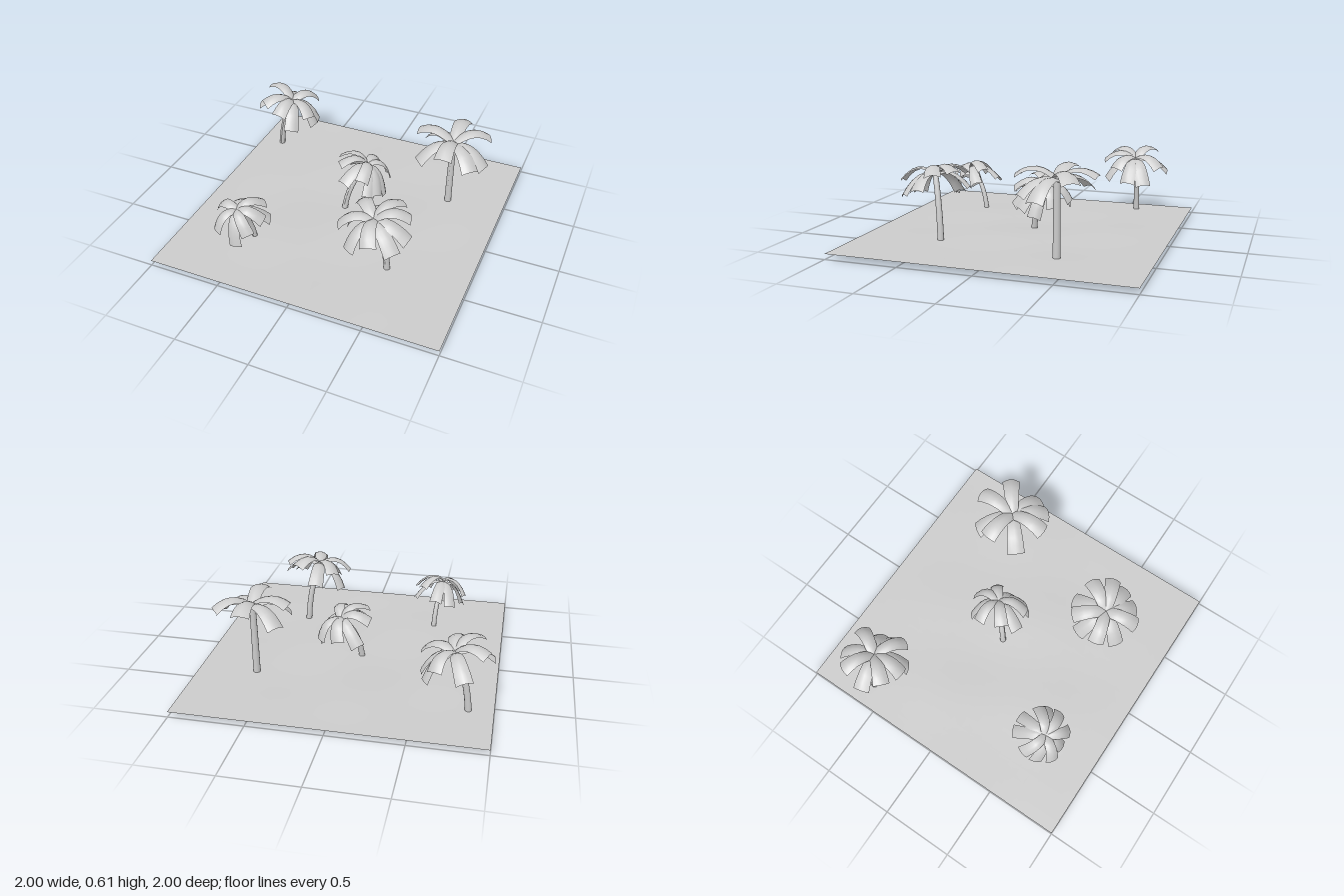
import * as THREE from 'three';

const UP = new THREE.Vector3(0, 1, 0);
const grey = new THREE.MeshStandardMaterial({ color: 0xcccccc });
const thin = new THREE.MeshStandardMaterial({ color: 0xcccccc, side: THREE.DoubleSide });

// Trunk base and top, thickness, frond length, extra droop, frond angles in degrees (seen from above)
const trees = [
  { name: 'backLeftPalm', base: [-0.84, 0, -0.6], top: [-0.735, 0.44, -0.605], radius: 0.022, length: 0.235, droop: 0.12,
    upper: [155, 60, -28, -90, -130], lower: [105, 25, -5, -60, -165] },
  { name: 'frontLeftPalm', base: [-0.49, 0.02, 0.5], top: [-0.53, 0.34, 0.63], radius: 0.018, length: 0.19, droop: 0.42,
    upper: [45, 165, -3, -48, -125], lower: [85, 120, 20, -85, -155] },
  { name: 'middlePalm', base: [-0.05, 0.02, -0.035], top: [0.07, 0.365, -0.15], radius: 0.021, length: 0.205, droop: 0.32,
    upper: [87, 40, 170, -75, -140], lower: [120, 5, -28, -50, -108] },
  { name: 'frontRightPalm', base: [0.46, 0.01, 0.45], top: [0.385, 0.465, 0.515], radius: 0.022, length: 0.235, droop: 0.15,
    upper: [130, 20, 58, -80, -165], lower: [100, 160, -10, -45, -125] },
  { name: 'backRightPalm', base: [0.605, 0.015, -0.4], top: [0.61, 0.535, -0.4], radius: 0.025, length: 0.265, droop: 0,
    upper: [90, 36, 172, -90], lower: [142, -15, -45, -140] },
];

// A capped, tapered cylinder bent along a curve
function trunk(curve, radius) {
  const geo = new THREE.CylinderGeometry(radius * 0.85, radius, 1, 12, 8);
  const pos = geo.attributes.position;
  const v = new THREE.Vector3();
  const q = new THREE.Quaternion();
  for (let i = 0; i < pos.count; i++) {
    v.fromBufferAttribute(pos, i);
    const t = v.y + 0.5;
    q.setFromUnitVectors(UP, curve.getTangent(t));
    v.setY(0).applyQuaternion(q).add(curve.getPoint(t));
    pos.setXYZ(i, v.x, v.y, v.z);
  }
  geo.computeVertexNormals();
  const mesh = new THREE.Mesh(geo, grey);
  mesh.name = 'trunk';
  return mesh;
}

// A broad leaf strip that rises, arches over and sags at its edges
function frond(length, rise, fall, degrees) {
  const geo = new THREE.PlaneGeometry(1, 1, 6, 4);
  const pos = geo.attributes.position;
  for (let i = 0; i < pos.count; i++) {
    const t = pos.getX(i) + 0.5;
    const side = pos.getY(i) * 2;
    const width = length * (0.3 + 0.17 * t);
    const reach = length * t * (1 - 0.05 * side * side * t);
    const height = length * (rise * t - fall * t * t - 0.07 * side * side);
    pos.setXYZ(i, reach, height, -side * width / 2);
  }
  geo.rotateY(THREE.MathUtils.degToRad(degrees));
  geo.computeVertexNormals();
  const mesh = new THREE.Mesh(geo, thin);
  mesh.name = 'frond';
  return mesh;
}

function palm({ name, base, top, radius, length, droop, upper, lower }) {
  const group = new THREE.Group();
  group.name = name;
  const a = new THREE.Vector3(...base);
  const b = new THREE.Vector3(...top);
  const bend = a.clone().lerp(b, 0.12).setY(a.y + (b.y - a.y) * 0.58);
  const curve = new THREE.QuadraticBezierCurve3(a, bend, b);
  group.add(trunk(curve, radius));

  // Two tiers of fronds, tipped partway along the trunk's lean
  const crown = new THREE.Group();
  crown.name = 'crown';
  crown.position.copy(b);
  crown.quaternion.setFromUnitVectors(UP, curve.getTangent(1).add(UP).normalize());
  upper.forEach((angle, i) => {
    const leaf = frond(length, 0.86, 0.76 + droop + 0.06 * (i % 2), angle);
    leaf.position.y = 0.012;
    crown.add(leaf);
  });
  lower.forEach((angle, i) => crown.add(frond(length, 0.5, 0.78 + droop + 0.08 * (i % 2), angle)));
  group.add(crown);
  return group;
}

// Gently rolling sheet of land
function ground() {
  const geo = new THREE.PlaneGeometry(2, 2, 24, 24).rotateX(-Math.PI / 2);
  const pos = geo.attributes.position;
  for (let i = 0; i < pos.count; i++) {
    const x = pos.getX(i), z = pos.getZ(i);
    const fade = (1 - x * x) * (1 - z * z);
    pos.setY(i, 0.036 + 0.01 * fade * Math.sin(6 * x + 1.5 * z) * Math.cos(5 * z - 2 * x));
  }
  geo.computeVertexNormals();
  const mesh = new THREE.Mesh(geo, thin);
  mesh.name = 'ground';
  return mesh;
}

export function createModel() {
  const model = new THREE.Group();
  model.name = 'palmGrove';
  model.add(ground(), ...trees.map(palm));
  return model;
}
